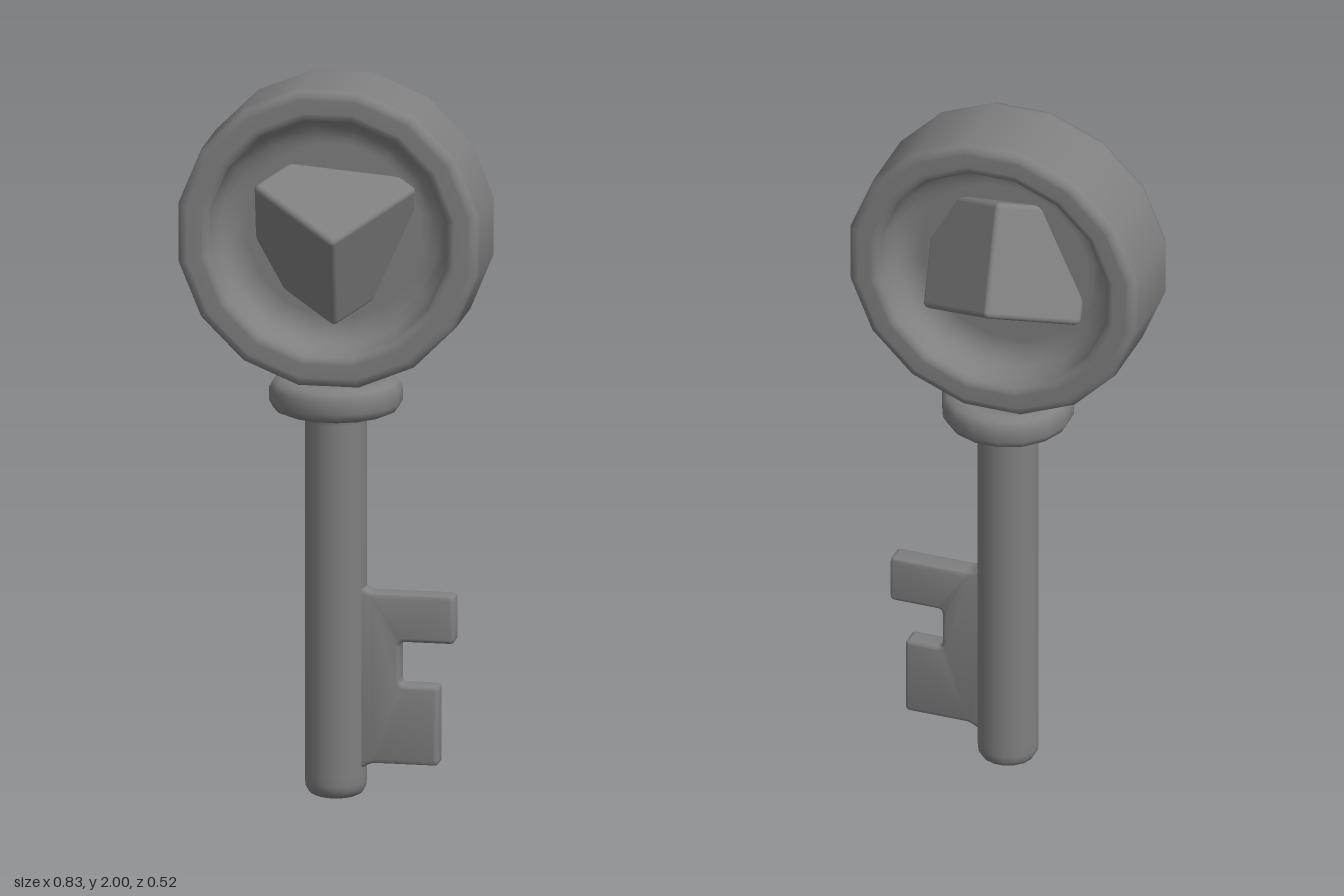
import * as THREE from 'three';
import { toCreasedNormals } from 'three/addons/utils/BufferGeometryUtils.js';
import { RoundedBoxGeometry } from 'three/addons/geometries/RoundedBoxGeometry.js';

const material = new THREE.MeshStandardMaterial({ color: 0x808080 });
const SIDES = 16;
const HEAD_Y = 1.585;

function add(group, name, geometry) {
  const mesh = new THREE.Mesh(geometry, material);
  mesh.name = name;
  group.add(mesh);
  return mesh;
}

// Turned part with flats facing the main axes
function turned(profile) {
  const points = profile.map(([r, y]) => new THREE.Vector2(r, y));
  return new THREE.LatheGeometry(points, SIDES, Math.PI / SIDES);
}

// Closed outline with every corner rounded
function roundedOutline(corners, radius) {
  const pts = corners.map(([x, y]) => new THREE.Vector2(x, y));
  const shape = new THREE.Shape();
  pts.forEach((p, i) => {
    const prev = pts[(i + pts.length - 1) % pts.length];
    const next = pts[(i + 1) % pts.length];
    const start = p.clone().add(prev.clone().sub(p).setLength(radius));
    const end = p.clone().add(next.clone().sub(p).setLength(radius));
    if (i === 0) shape.moveTo(start.x, start.y);
    else shape.lineTo(start.x, start.y);
    shape.quadraticCurveTo(p.x, p.y, end.x, end.y);
  });
  shape.closePath();
  return shape;
}

export function createModel() {
  const key = new THREE.Group();
  key.name = 'key';

  // Round head: a thick disc with a dished recess on both faces
  const half = [
    [0.423, 0.105], [0.422, 0.114], [0.417, 0.124], [0.405, 0.13], [0.396, 0.131],
    [0.358, 0.131], [0.349, 0.13], [0.337, 0.124], [0.332, 0.112],
    [0.328, 0.075], [0.313, 0.045], [0.287, 0.026], [0.26, 0.02], [0.245, 0.02], [0, 0.02],
  ];
  const mirrored = half.map(([r, y]) => [r, -y]).reverse();
  const head = add(key, 'head', turned([...mirrored, ...half]));
  head.rotation.x = Math.PI / 2;
  head.position.y = HEAD_Y;

  // Gem: a cube standing on its corner, poking through both recesses
  const xAxis = new THREE.Vector3(-0.237, 0.106, -0.156).normalize();
  const zAxis = xAxis.clone().cross(new THREE.Vector3(0.181, 0.109, -0.22)).normalize();
  const yAxis = zAxis.clone().cross(xAxis);
  const gem = add(key, 'gem', new RoundedBoxGeometry(0.318, 0.318, 0.318, 2, 0.016));
  gem.quaternion.setFromRotationMatrix(new THREE.Matrix4().makeBasis(xAxis, yAxis, zAxis));
  gem.position.y = HEAD_Y;

  // Shaft with a rounded tip, flaring slightly into the collar
  add(key, 'shaft', turned([
    [0, 0], [0.05, 0], [0.06, 0.002], [0.074, 0.01], [0.082, 0.024], [0.084, 0.04], [0.084, 0.06],
    [0.084, 1.05], [0.084, 1.062], [0.088, 1.074], [0.1, 1.085], [0.1, 1.18], [0, 1.18],
  ]));

  // Collar below the head
  add(key, 'collar', turned([
    [0.08, 1.076], [0.14, 1.076], [0.15, 1.077], [0.171, 1.086], [0.182, 1.106],
    [0.182, 1.143], [0.171, 1.163], [0.15, 1.171], [0.14, 1.172], [0, 1.172],
  ]));

  // Bit: two teeth on a web beside the shaft
  const outline = roundedOutline([
    [0.03, 0.08], [0.075, 0.08], [0.1, 0.097], [0.288, 0.097], [0.288, 0.32], [0.181, 0.32],
    [0.181, 0.44], [0.332, 0.44], [0.332, 0.575], [0.1, 0.575], [0.075, 0.592], [0.03, 0.592],
  ], 0.014);
  const bevel = 0.012;
  const bit = new THREE.ExtrudeGeometry(outline, {
    depth: 0.04, curveSegments: 4,
    bevelThickness: bevel, bevelSize: bevel, bevelOffset: -bevel, bevelSegments: 3,
  });
  bit.translate(0, 0, -0.02);
  add(key, 'bit', toCreasedNormals(bit, 0.7));

  return key;
}
